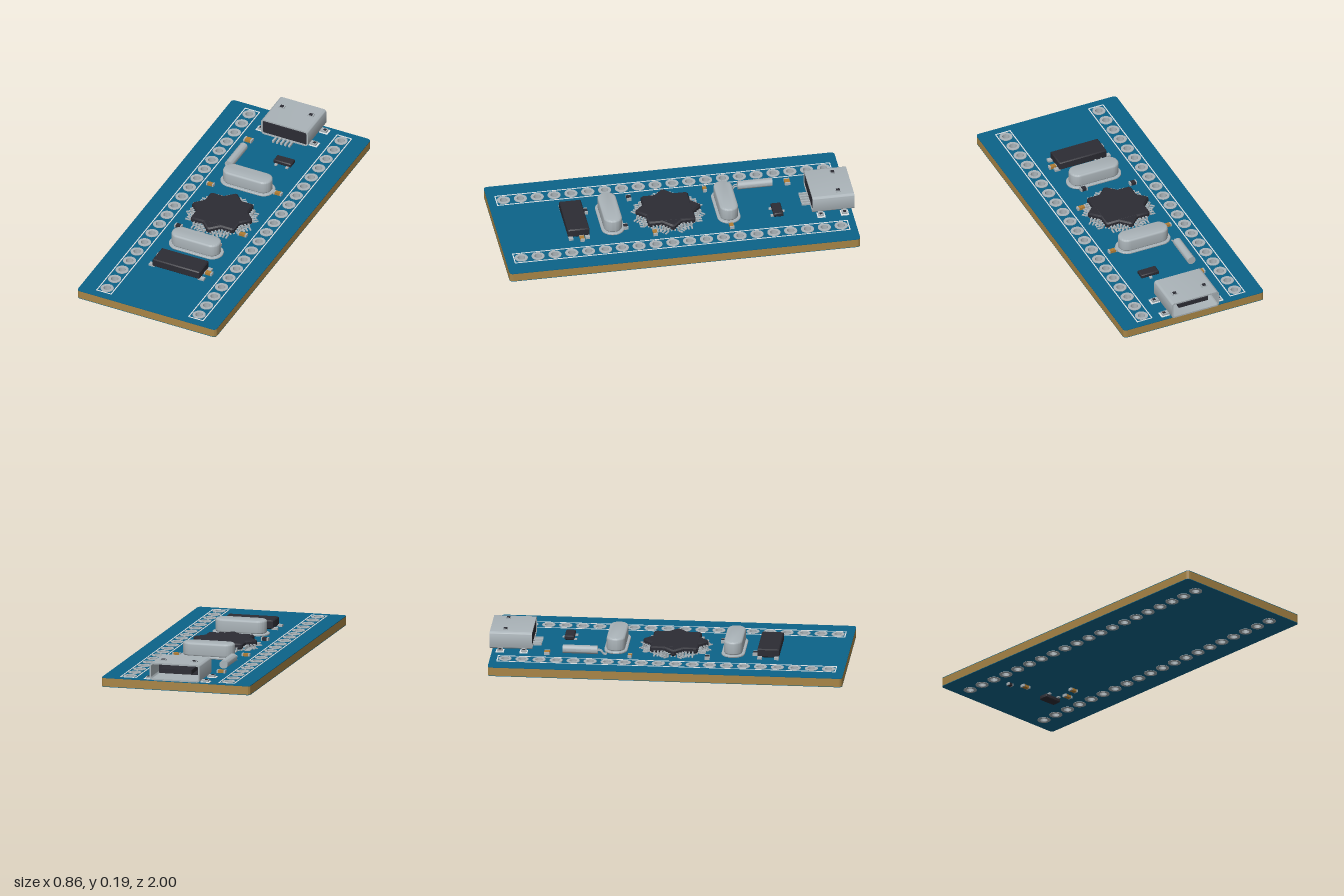
import * as THREE from 'three';
import { toCreasedNormals } from 'three/addons/utils/BufferGeometryUtils.js';

const mat = (name, color, side = THREE.FrontSide) => {
  const m = new THREE.MeshStandardMaterial({ color, side });
  m.name = name;
  return m;
};

export function createModel() {
  const model = new THREE.Group();
  model.name = 'microcontrollerBoard';
  const blue = mat('solderMaskBlue', 0x0c6389);
  const tan = mat('boardTan', 0xa88546);
  const dark = mat('plasticBlack', 0x2c2c34);
  const silver = mat('metalSilver', 0xaab3b8);
  const white = mat('silkscreenWhite', 0xe4e8ea);
  const copper = mat('ceramicBrown', 0xb07c34);

  const add = (parent, name, geo, material, x = 0, y = 0, z = 0) => {
    const m = new THREE.Mesh(geo, material);
    m.name = name;
    m.position.set(x, y, z);
    parent.add(m);
    return m;
  };
  const group = (name, x = 0, y = 0, z = 0) => {
    const g = new THREE.Group();
    g.name = name;
    g.position.set(x, y, z);
    model.add(g);
    return g;
  };
  const box = (parent, name, w, h, d, material, x, y, z) =>
    add(parent, name, new THREE.BoxGeometry(w, h, d), material, x, y, z);

  // Rounded rectangle outline centred on (cx, cy)
  const roundRect = (w, h, r, cx = 0, cy = 0, S = THREE.Shape) => {
    const s = new S(), a = w / 2 - r, b = h / 2 - r;
    s.absarc(cx + a, cy + b, r, 0, Math.PI / 2);
    s.absarc(cx - a, cy + b, r, Math.PI / 2, Math.PI);
    s.absarc(cx - a, cy - b, r, Math.PI, Math.PI * 1.5);
    s.absarc(cx + a, cy - b, r, Math.PI * 1.5, Math.PI * 2);
    s.closePath();
    return s;
  };
  // Horizontal slab whose underside is at y = 0; optional bevel stays inside the outline
  const slab = (shape, height, bevel = 0, segments = 1) => {
    const g = new THREE.ExtrudeGeometry(shape, {
      depth: height - 2 * bevel, bevelEnabled: bevel > 0, bevelSize: bevel, bevelOffset: -bevel,
      bevelThickness: bevel, bevelSegments: segments, curveSegments: 10,
    });
    g.translate(0, 0, bevel).rotateX(-Math.PI / 2);
    return toCreasedNormals(g, 0.6);
  };

  // Board core, solder mask and the two rows of through holes
  const TOP = 0.085, BOTTOM = 0.032, HOLE = 0.025;
  const holes = [];
  for (const x of [-0.285, 0.285])
    for (let i = 0; i < 20; i++) holes.push([x, -0.9 + i * 0.0953]);
  const boardZ = 0.0075;
  const boardShape = roundRect(0.86, 1.985, 0.02);
  for (const [x, z] of holes) {
    const p = new THREE.Path();
    p.absarc(x, boardZ - z, HOLE, 0, Math.PI * 2, true);
    boardShape.holes.push(p);
  }
  const board = group('board', 0, 0, boardZ);
  add(board, 'boardCore', slab(boardShape, 0.047), tan, 0, 0.035, 0);
  const maskGeo = slab(boardShape, 0.003);
  add(board, 'topMask', maskGeo, blue, 0, TOP - 0.003, 0);
  add(board, 'bottomMask', maskGeo, blue, 0, BOTTOM, 0);

  // Plated ring: sleeve with a flange on each face
  const profile = [[0.021, 0.030], [0.037, 0.030], [0.037, 0.034], [0.025, 0.034], [0.025, 0.084],
    [0.037, 0.084], [0.037, 0.088], [0.021, 0.088], [0.021, 0.030]];
  const ringGeo = toCreasedNormals(
    new THREE.LatheGeometry(profile.map(([r, y]) => new THREE.Vector2(r, y)), 20), 0.6);
  const rings = group('platedHoles');
  for (const [x, z] of holes) add(rings, 'platedHole', ringGeo, silver, x, 0, z);

  // Silkscreen frame around each row
  for (const x of [-0.285, 0.285]) {
    const frame = roundRect(0.095, 1.9, 0.002);
    frame.holes.push(roundRect(0.083, 1.888, 0.002, 0, 0, THREE.Path));
    add(model, 'silkscreenFrame', slab(frame, 0.002), white, x, TOP, 0.005);
  }

  // USB socket: open metal shell, plastic insert, tongue, latches, tabs and pins
  const usb = group('usbSocket');
  const shellShape = roundRect(0.29, 0.1, 0.018, 0, 0.14);
  shellShape.holes.push(roundRect(0.272, 0.082, 0.012, 0, 0.14, THREE.Path));
  add(usb, 'usbShell', toCreasedNormals(new THREE.ExtrudeGeometry(shellShape,
    { depth: 0.237, bevelEnabled: false, curveSegments: 6 }), 0.6), silver, 0, 0, -1);
  box(usb, 'usbInsert', 0.27, 0.072, 0.08, dark, 0, 0.136, -0.807);
  box(usb, 'usbTongue', 0.18, 0.024, 0.13, dark, 0, 0.142, -0.91);
  for (const s of [-1, 1]) {
    box(usb, 'usbLatch', 0.036, 0.006, 0.026, silver, s * 0.09, 0.192, -0.916);
    box(usb, 'usbLatchSlot', 0.02, 0.003, 0.02, dark, s * 0.09, 0.1955, -0.916);
    for (const z of [-0.94, -0.807]) {
      box(usb, 'usbPad', 0.052, 0.004, 0.045, white, s * 0.164, 0.086, z);
      box(usb, 'usbTab', 0.044, 0.011, 0.03, silver, s * 0.158, 0.093, z);
      box(usb, 'usbTabSlot', 0.016, 0.002, 0.016, dark, s * 0.166, 0.099, z);
    }
  }
  for (let i = -2; i <= 2; i++) box(usb, 'usbPin', 0.012, 0.012, 0.055, silver, i * 0.025, 0.092, -0.745);

  // Can-shaped crystals with a base flange
  const flangeGeo = slab(roundRect(0.325, 0.13, 0.064), 0.012, 0.003);
  const canGeo = slab(roundRect(0.295, 0.104, 0.051), 0.078, 0.012, 4);
  for (const z of [-0.297, 0.36]) {
    const c = group('canCrystal', 0, TOP + 0.002, z);
    add(c, 'crystalFlange', flangeGeo, silver);
    add(c, 'crystalCan', canGeo, silver, 0, 0.008, 0);
  }

  // Small cylinder crystal lying on the board
  const tube = group('cylinderCrystal', -0.166, 0.112, 0);
  const tubeGeo = toCreasedNormals(new THREE.CylinderGeometry(0.024, 0.024, 0.195, 20).rotateX(Math.PI / 2), 0.6);
  add(tube, 'crystalTube', tubeGeo, silver, 0, 0, -0.49);
  for (const x of [-0.009, 0.009]) {
    const wire = new THREE.CatmullRomCurve3([[x, 0, -0.4], [x, -0.002, -0.375], [x, -0.02, -0.36], [x, -0.023, -0.342]]
      .map((p) => new THREE.Vector3(...p)));
    add(tube, 'crystalLead', new THREE.TubeGeometry(wire, 8, 0.004, 6), silver);
  }

  // Processor: two chamfered square packages, one turned 45 degrees, with leads all round
  const cpu = group('processor', 0, TOP, 0.03);
  const h = 0.134, k = 0.01;
  const chipShape = new THREE.Shape([[h, -h + k], [h, h - k], [h - k, h], [k - h, h], [-h, h - k],
    [-h, k - h], [k - h, -h], [h - k, -h]].map(([x, y]) => new THREE.Vector2(x, y)));
  const chipGeo = slab(chipShape, 0.036, 0.008);
  const footGeo = new THREE.BoxGeometry(0.009, 0.005, 0.028);
  const kneeGeo = new THREE.BoxGeometry(0.009, 0.018, 0.008);
  for (const [turn, lift] of [[0, 0.009], [Math.PI / 4, 0.0085]]) {
    const chip = new THREE.Group();
    chip.name = 'processorPackage';
    chip.rotation.y = turn;
    cpu.add(chip);
    add(chip, 'processorBody', chipGeo, dark, 0, lift, 0);
    for (let s = 0; s < 4; s++) {
      const side = new THREE.Group();
      side.name = 'leadRow';
      side.rotation.y = s * Math.PI / 2;
      chip.add(side);
      for (let i = 0; i < 12; i++) {
        const x = (i - 5.5) * 0.0195;
        add(side, 'leadFoot', footGeo, silver, x, 0.004, 0.162);
        add(side, 'leadKnee', kneeGeo, silver, x, 0.012, 0.147);
        box(side, 'leadShoulder', 0.009, 0.005, 0.02, silver, x, 0.021, 0.138);
      }
    }
  }

  // Four-lead black block near the front
  const block = group('frontBlock', 0, TOP, 0.56);
  add(block, 'blockBody', slab(roundRect(0.29, 0.122, 0.004), 0.05, 0.006), dark, 0, 0.005, 0);
  for (const x of [-0.152, 0.152])
    for (const z of [-0.047, 0.047]) box(block, 'blockLead', 0.036, 0.012, 0.025, silver, x, 0.007, z);

  // Three-lead regulators, above and below the board
  const regulator = (x, y, z, dir) => {
    const r = group('regulator', x, y, z);
    if (dir < 0) r.rotation.z = Math.PI;
    add(r, 'regulatorBody', slab(roundRect(0.108, 0.054, 0.003), 0.025, 0.005), dark, 0, 0.004, 0);
    for (const [lx, lz] of [[0, -0.033], [-0.034, 0.033], [0.034, 0.033]])
      box(r, 'regulatorLead', 0.015, 0.008, 0.018, silver, lx, 0.005, lz);
  };
  regulator(0.092, TOP, -0.571, 1);
  regulator(0.096, BOTTOM, -0.655, -1);

  // Small chip parts: body with two metal ends
  const chipPart = (name, material, x, z, w, d, tall, below = false, alongZ = false) => {
    const y = below ? BOTTOM - tall / 2 : TOP + tall / 2;
    const p = group(name, x, y, z);
    if (alongZ) p.rotation.y = Math.PI / 2;
    box(p, name + 'Body', w * 0.64, tall * 0.94, d * 0.95, material, 0, 0, 0);
    for (const s of [-1, 1]) box(p, name + 'End', w * 0.18, tall, d, silver, s * w * 0.41, 0, 0);
  };
  for (const [x, z, w, d] of [[-0.18, -0.675, 0.05, 0.032], [0.187, -0.297, 0.05, 0.024],
    [-0.19, -0.21, 0.045, 0.022], [0.178, 0.135, 0.055, 0.024], [0.165, 0.545, 0.05, 0.026]])
    chipPart('capacitor', copper, x, z, w, d, 0.016);
  for (const [x, z] of [[-0.177, 0.222], [0.095, 0.287], [-0.09, 0.483]])
    chipPart('resistor', dark, x, z, 0.042, 0.026, 0.018);
  for (const [x, z] of [[0.155, -0.575], [0.122, -0.495], [-0.103, -0.645]])
    chipPart('lowerCapacitor', copper, x, z, 0.05, 0.025, 0.015, true);
  chipPart('lowerResistor', dark, -0.185, -0.685, 0.034, 0.022, 0.015, true);

  return model;
}
